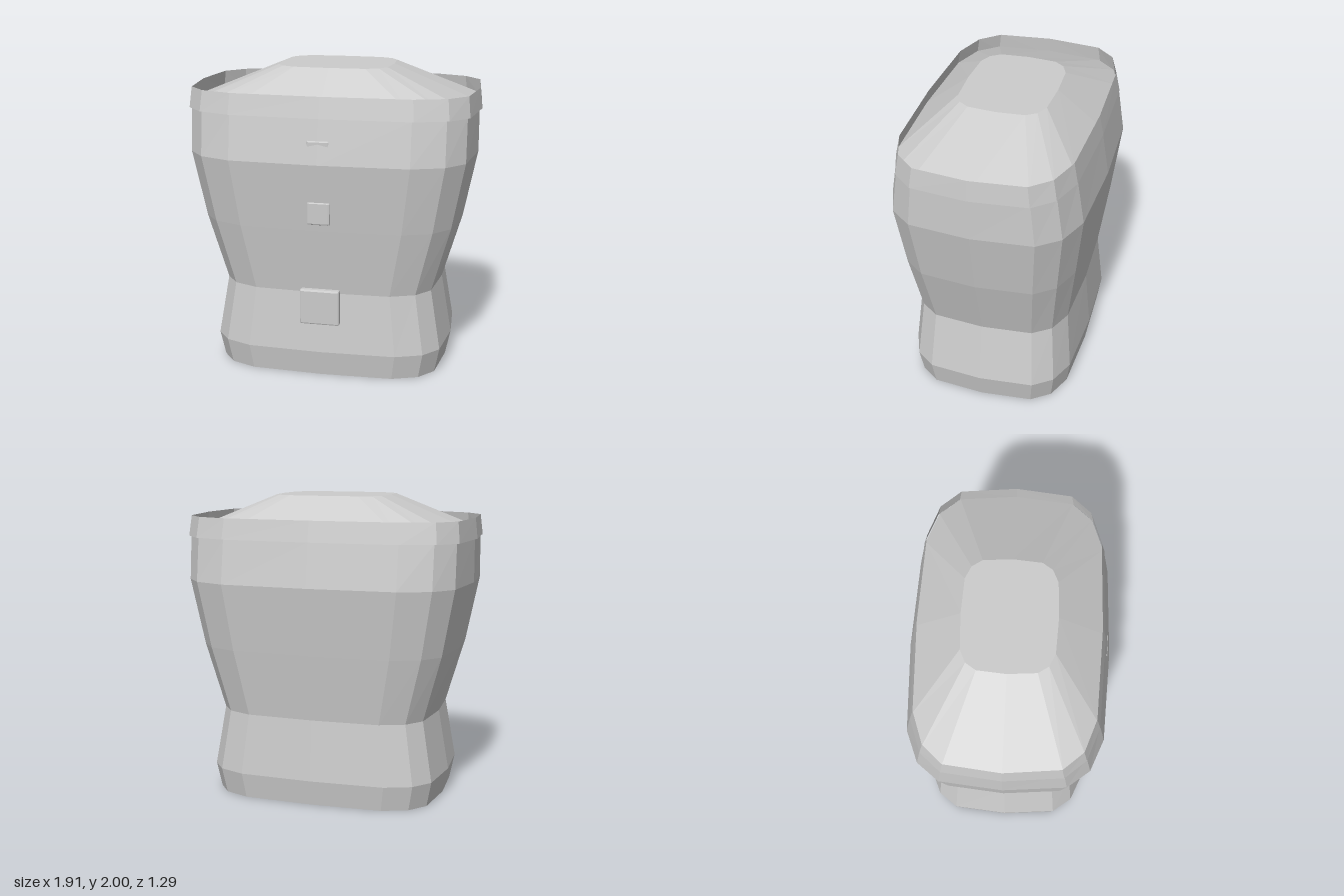
import * as THREE from 'three';
import { RoundedBoxGeometry } from 'three/addons/geometries/RoundedBoxGeometry.js';

// One quarter of the rounded-rectangle section, as fractions of half width and half depth
const QUARTER = [[1, 0], [0.96, 0.62], [0.84, 0.84], [0.62, 0.965]];

// Full 16-point section, turning from +x towards +z
const SECTION = [];
for (let q = 0; q < 4; q++) {
  for (let i = 0; i < 4; i++) {
    if (q % 2 === 0) {
      const s = q === 0 ? 1 : -1;
      SECTION.push([QUARTER[i][0] * s, QUARTER[i][1] * s]);
    } else {
      // odd quarters run the list backwards, starting at the z extreme
      const s = q === 1 ? 1 : -1;
      const [x, z] = i === 0 ? [0, 1] : QUARTER[4 - i];
      SECTION.push([-x * s, z * s]);
    }
  }
}

// Skin over levels of [y, half width, half depth], with optional flat ends
function loft(levels, { bottom = false, top = false } = {}) {
  const n = SECTION.length;
  const positions = [];
  const index = [];
  for (const [y, w, d] of levels) {
    for (const [x, z] of SECTION) positions.push(x * w, y, z * d);
  }
  for (let l = 0; l < levels.length - 1; l++) {
    for (let i = 0; i < n; i++) {
      const a = l * n + i;
      const b = l * n + (i + 1) % n;
      index.push(a, a + n, b, b, a + n, b + n);
    }
  }
  const cap = (level, up) => {
    const centre = positions.length / 3;
    positions.push(0, levels[level][0], 0);
    for (let i = 0; i < n; i++) {
      const a = level * n + i;
      const b = level * n + (i + 1) % n;
      if (up) index.push(centre, b, a);
      else index.push(centre, a, b);
    }
  };
  if (bottom) cap(0, false);
  if (top) cap(levels.length - 1, true);
  const geometry = new THREE.BufferGeometry();
  geometry.setAttribute('position', new THREE.Float32BufferAttribute(positions, 3));
  geometry.setIndex(index);
  geometry.computeVertexNormals();
  return geometry;
}

export function createModel() {
  const group = new THREE.Group();
  const material = new THREE.MeshStandardMaterial({ color: 0xcccccc, flatShading: true });
  const thin = new THREE.MeshStandardMaterial({
    color: 0xcccccc, flatShading: true, side: THREE.DoubleSide,
  });

  const add = (name, geometry, mat = material) => {
    const mesh = new THREE.Mesh(geometry, mat);
    mesh.name = name;
    group.add(mesh);
    return mesh;
  };

  // Torso: hem, hips, waist, ribs, chest, shoulders
  add('torso', loft([
    [0, 0.755, 0.545],
    [0.165, 0.79, 0.57],
    [0.565, 0.72, 0.532],
    [1.0, 0.85, 0.592],
    [1.44, 0.94, 0.645],
    [1.73, 0.94, 0.598],
  ], { bottom: true }));

  // Thin open band around the shoulders
  add('collar', loft([
    [1.725, 0.957, 0.6],
    [1.86, 0.943, 0.572],
  ], {}), thin);

  // Sloping shoulders with a flat neck top, set down inside the collar
  add('shoulderTop', loft([
    [1.77, 0.935, 0.587],
    [2.0, 0.375, 0.297],
  ], { top: true }));

  // Belt buckle and two buttons sunk into the front
  const plates = [
    ['buckle', 0.26, 0.235, 0.05, 0.483, 0.597],
    ['lowerButton', 0.148, 0.15, 0.05, 1.12, 0.618],
    ['upperButton', 0.148, 0.15, 0.05, 1.517, 0.624],
  ];
  for (const [name, w, h, d, y, front] of plates) {
    add(name, new RoundedBoxGeometry(w, h, d, 1, 0.01)).position.set(0, y, front - d / 2);
  }

  return group;
}
